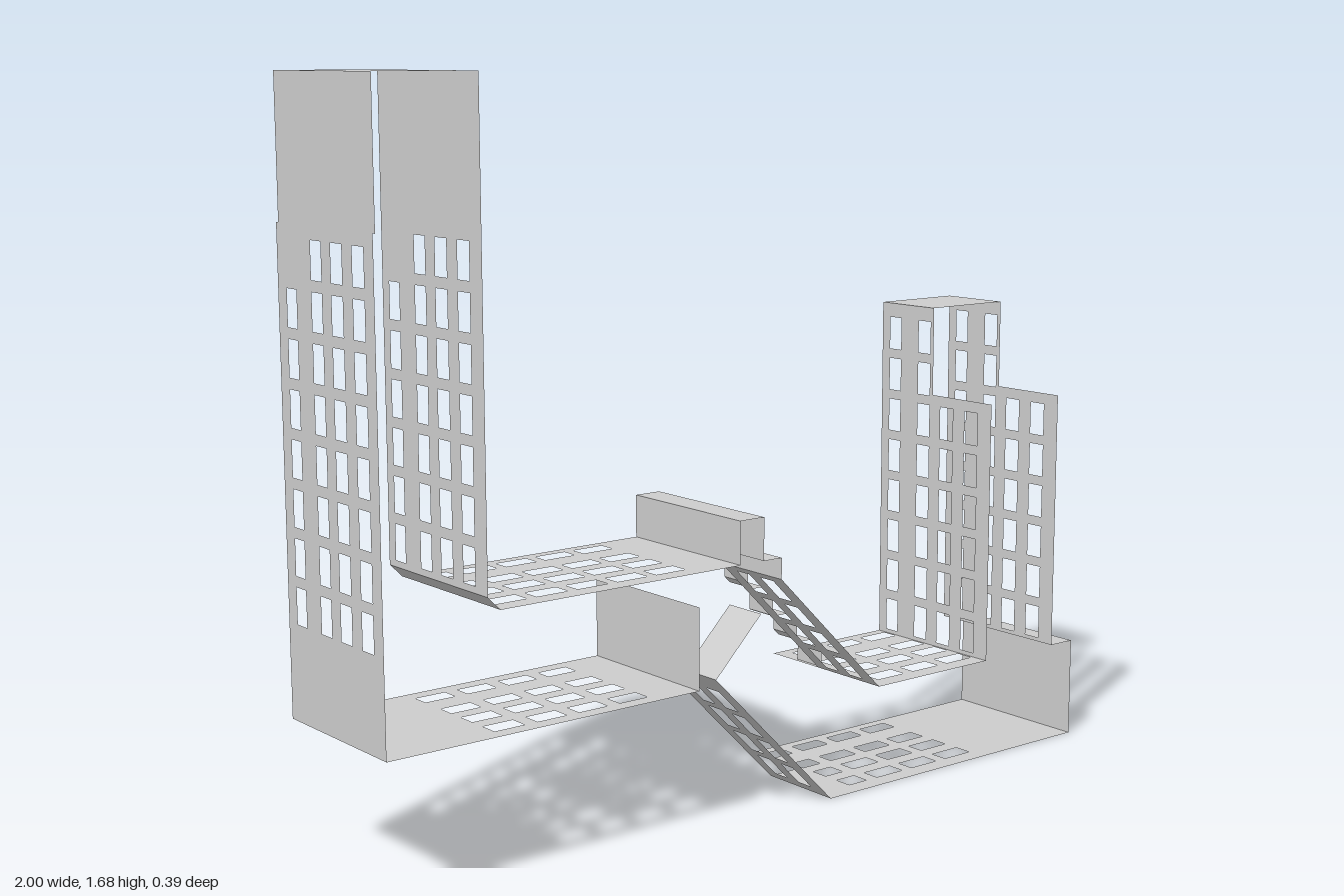
import * as THREE from 'three';

const BACK = -0.187, FRONT = 0.196, MID = -0.02;
const ROWS = [[-0.16, -0.12], [-0.058, -0.016], [0.022, 0.066], [0.106, 0.15]];
const material = new THREE.MeshStandardMaterial({ color: 0xcccccc, side: THREE.DoubleSide });

export function createModel() {
  const model = new THREE.Group();

  // Flat sheet running from a to b in the xy plane; outline and holes are in
  // (distance along a-b, z). Holes are [u0, u1, z0, z1].
  function sheet(name, a, b, { z0 = BACK, z1 = FRONT, outline, holes = [] } = {}) {
    const p = new THREE.Vector3(a[0], a[1], 0);
    const dir = new THREE.Vector3(b[0], b[1], 0).sub(p);
    const len = dir.length();
    dir.normalize();
    const pts = outline || [[0, z0], [len, z0], [len, z1], [0, z1]];
    const shape = new THREE.Shape(pts.map(([u, v]) => new THREE.Vector2(u, v)));
    for (const [u0, u1, v0, v1] of holes) {
      shape.holes.push(new THREE.Path([
        new THREE.Vector2(u0, v0), new THREE.Vector2(u0, v1),
        new THREE.Vector2(u1, v1), new THREE.Vector2(u1, v0)]));
    }
    const zAxis = new THREE.Vector3(0, 0, 1);
    const m = new THREE.Matrix4().makeBasis(dir, zAxis, dir.clone().cross(zAxis)).setPosition(p);
    const mesh = new THREE.Mesh(new THREE.ShapeGeometry(shape).applyMatrix4(m), material);
    mesh.name = name;
    model.add(mesh);
  }

  // Chain of plain sheets along a polyline
  function strip(name, pts, opts) {
    for (let i = 0; i + 1 < pts.length; i++) sheet(name, pts[i], pts[i + 1], opts);
  }

  // Grid of windows: count columns from start, over the given z rows
  function windows(start, pitch, size, count, rows = ROWS, skip = () => false) {
    const out = [];
    for (let i = 0; i < count; i++) {
      rows.forEach(([a, b], j) => {
        if (!skip(i, j)) out.push([start + i * pitch, start + i * pitch + size, a, b]);
      });
    }
    return out;
  }

  // Tall tower: upper shell, inner wall and outer wall
  strip('tallTowerTop', [[-1, 1.378], [-1, 1.683], [-0.76, 1.683]]);
  sheet('tallTowerInnerWall', [-0.76, 0.63], [-0.76, 1.683],
    { holes: windows(0.015, 0.104, 0.08, 7, ROWS, (i, j) => i === 6 && j === 0) });
  sheet('tallTowerOuterWall', [-1, 0.33], [-1, 1.378], {
    z0: -0.196, z1: 0.187,
    holes: windows(0.212, 0.104, 0.08, 8, ROWS, (i, j) => i === 7 && j === 0) });

  // Lower left deck with its end wall
  sheet('leftLowerDeck', [-1, 0.33], [-0.205, 0.33],
    { z0: -0.196, z1: 0.187, holes: windows(0.28, 0.108, 0.075, 4) });
  sheet('leftDeckEndWall', [-0.205, 0.33], [-0.205, 0.52], { z0: -0.196, z1: 0.187 });

  // Upper left deck, ridge and drop to the slope
  sheet('deckChamfer', [-0.76, 0.63], [-0.73, 0.6]);
  sheet('leftUpperDeck', [-0.73, 0.6], [-0.095, 0.6],
    { holes: windows(0.015, 0.105, 0.08, 5) });
  strip('ridge', [[-0.095, 0.6], [-0.095, 0.7], [-0.027, 0.7], [-0.027, 0.6], [0.025, 0.6]]);
  sheet('slopeDrop', [0.025, 0.6], [0.025, 0.55], { z0: -0.107 });

  // Upper slope and the separate steps beside it
  sheet('upperSlope', [0.025, 0.55], [0.33, 0.245],
    { z0: MID, holes: windows(0.02, 0.105, 0.08, 4, ROWS.slice(2)) });
  const stepZ = { z0: -0.107, z1: MID };
  sheet('step', [0.025, 0.55], [0.08, 0.55], stepZ);
  for (let i = 1; i < 4; i++) {
    const x = 0.03 + i * 0.077, y = 0.55 - i * 0.077;
    const c = i === 2 ? 0.002 : 0.016;
    strip('step', [[x, y + 0.048], [x, y + c], [x + c, y], [x + 0.048, y]], stepZ);
  }
  sheet('step', [0.34, 0.292], [0.34, 0.245], stepZ);

  // Upper right deck
  sheet('rightUpperDeck', [0.33, 0.245], [0.69, 0.245],
    { holes: windows(0.04, 0.115, 0.083, 3) });

  // Short tower: two stepped walls and a roof over the rear half
  for (const x of [0.69, 0.925]) {
    sheet('shortTowerWall', [x, 0.245], [x, 1.098], {
      outline: [[0, BACK], [0.853, BACK], [0.853, -0.005], [0.637, -0.005], [0.637, FRONT], [0, FRONT]],
      holes: windows(0.01, 0.104, 0.08, 8, ROWS, (i, j) => i > 5 && j > 1) });
  }
  sheet('shortTowerRoof', [0.69, 1.098], [0.925, 1.098], { z1: -0.005 });

  // Right ledge, end wall and lower deck, notched at the rear
  strip('rightEnd', [[0.925, 0.245], [0.998, 0.245], [0.998, 0.002]]);
  sheet('rightLowerDeck', [0.18, 0.002], [0.998, 0.002], {
    outline: [[0, MID], [0.09, MID], [0.09, BACK], [0.818, BACK], [0.818, FRONT], [0, FRONT]],
    holes: windows(0.105, 0.1, 0.08, 1).map(([, u, a, b]) => [0.1, u - 0.03, a, b])
      .concat(windows(0.19, 0.115, 0.083, 3)) });

  // Lower slope and its folded flap
  sheet('lowerSlope', [0.18, 0.002], [-0.165, 0.35],
    { z0: MID, holes: windows(0.03, 0.105, 0.08, 4, ROWS.slice(2)) });
  sheet('slopeFlap', [-0.165, 0.35], [-0.035, 0.48], { z0: 0.085 });

  return model;
}
